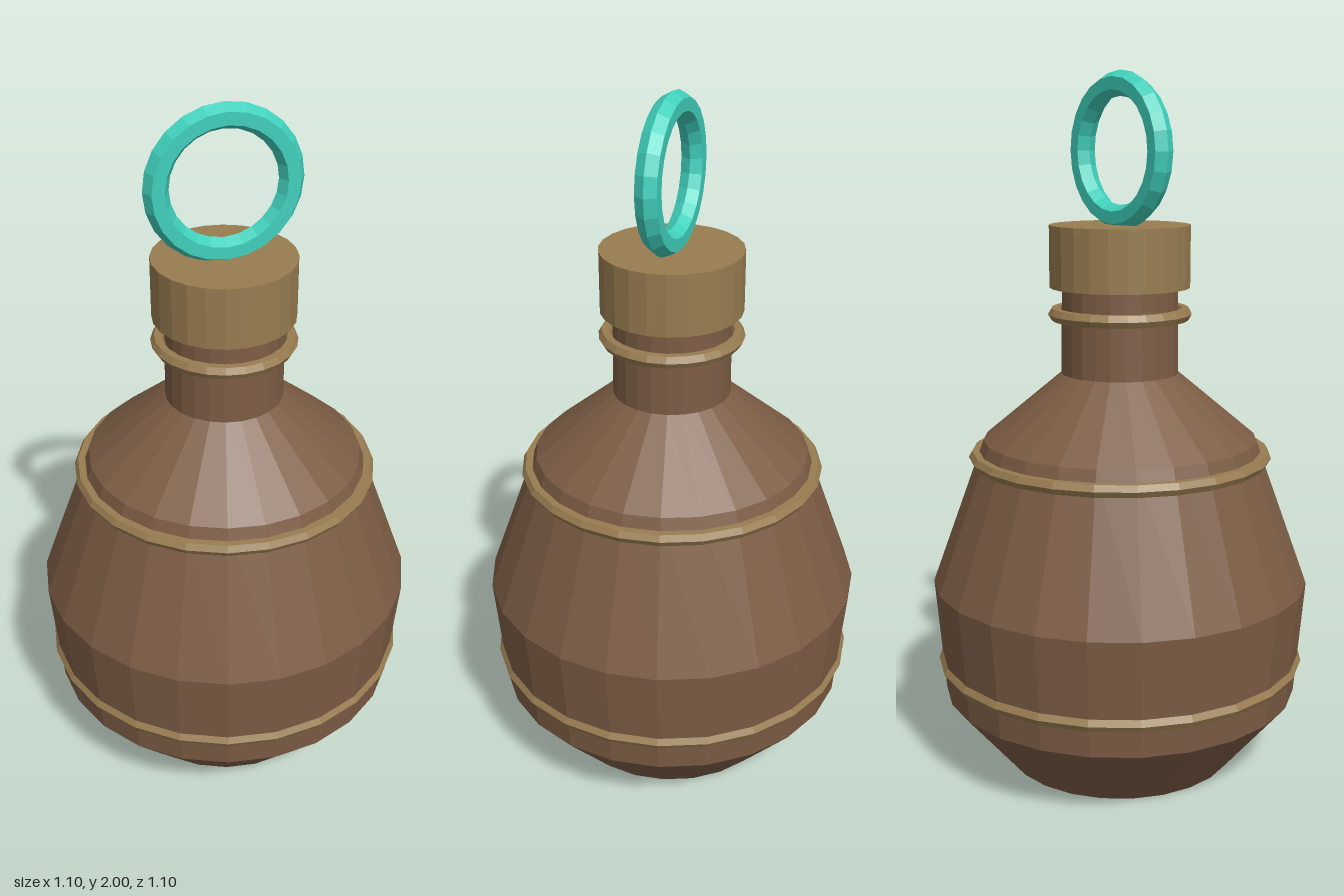
import * as THREE from 'three';

const SIDES = 24;

const material = (color, side = THREE.FrontSide) =>
  new THREE.MeshStandardMaterial({ color, flatShading: true, side });

function addMesh(group, name, geometry, mat, y = 0) {
  const mesh = new THREE.Mesh(geometry, mat);
  mesh.name = name;
  mesh.position.y = y;
  group.add(mesh);
  return mesh;
}

export function createModel() {
  const group = new THREE.Group();
  group.name = 'bottle';
  const brown = material(0x7d5d45, THREE.DoubleSide);
  const tan = material(0x987c50);
  const teal = material(0x40d0bc);

  // Hollow body with a small drain hole underneath, running up into the neck
  const profile = [
    [0.08, 0], [0.34, 0], [0.52, 0.215], [0.548, 0.55],
    [0.395, 0.97], [0.168, 1.16], [0.165, 1.42],
  ].map(([r, y]) => new THREE.Vector2(r, y));
  addMesh(group, 'body', new THREE.LatheGeometry(profile, SIDES), brown);

  // Six-sided bands round the base, shoulder and neck
  const bands = [
    ['baseBand', 0.52, 0.31],
    ['shoulderBand', 0.418, 0.92],
    ['neckBand', 0.185, 1.33],
  ];
  for (const [name, radius, y] of bands) {
    const ring = new THREE.TorusGeometry(radius, 0.02, 6, SIDES).rotateX(Math.PI / 2);
    addMesh(group, name, ring, tan, y);
  }

  // Cap
  addMesh(group, 'cap', new THREE.CylinderGeometry(0.2, 0.2, 0.175, SIDES), tan, 1.4925);

  // Upright pull ring resting on the cap
  addMesh(group, 'pullRing', new THREE.TorusGeometry(0.183, 0.035, 6, SIDES), teal, 1.782);

  return group;
}
